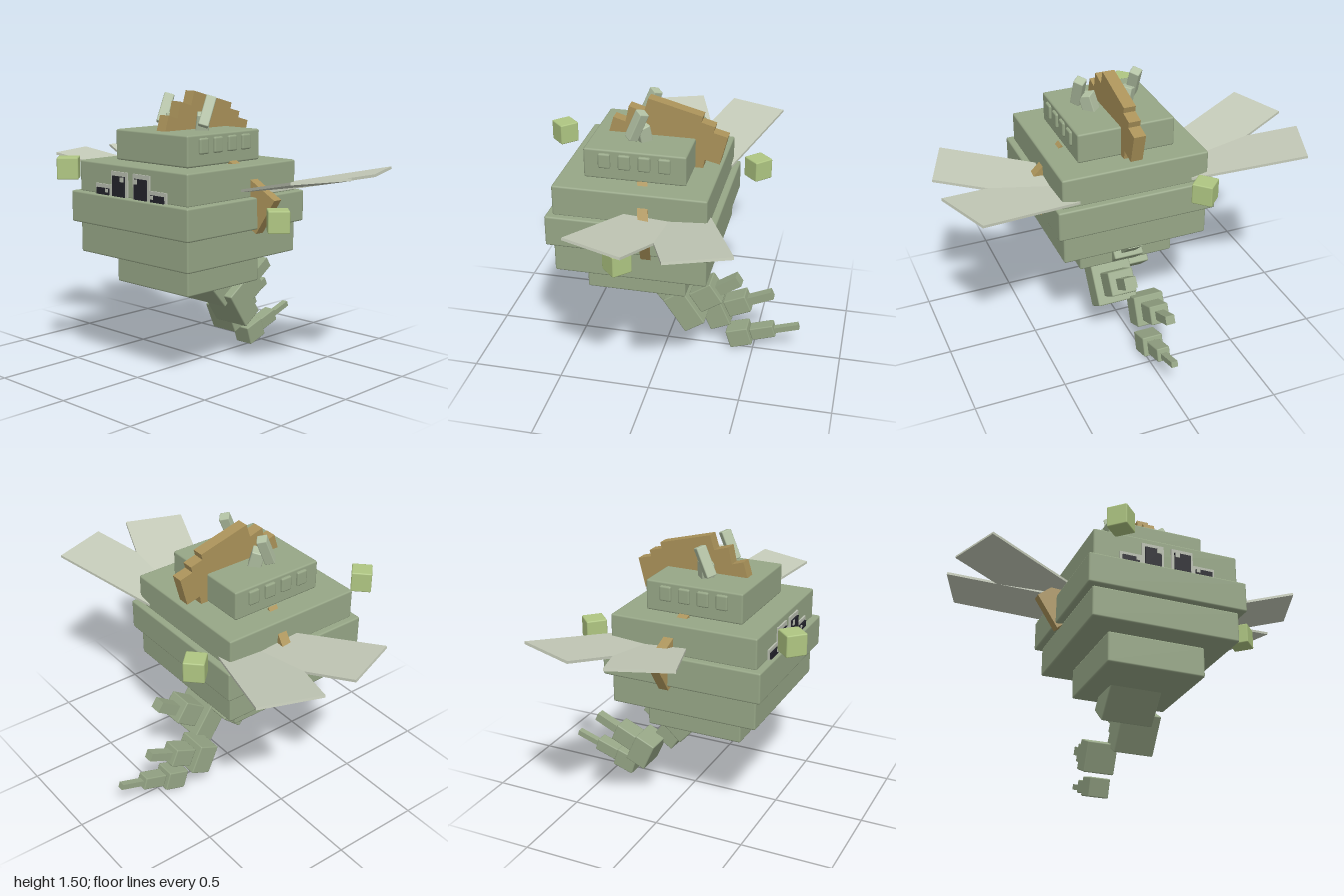
import * as THREE from 'three';
import { RoundedBoxGeometry } from 'three/addons/geometries/RoundedBoxGeometry.js';

const mat = (name, color, side = THREE.FrontSide) => {
  const m = new THREE.MeshStandardMaterial({ color, side });
  m.name = name;
  return m;
};

export function createModel() {
  const model = new THREE.Group();
  const shell = mat('shell green', 0x97a787);
  const horn = mat('pale horn', 0xb4c3a5);
  const brown = mat('crest brown', 0xab935a);
  const wingMat = mat('wing grey', 0xc5cbb9);
  const cubeMat = mat('lime', 0xafc682);
  const frameMat = mat('eye frame', 0xb9beb0);
  const dark = mat('eye dark', 0x23232b);

  const add = (name, geo, material, pos, rot = [0, 0, 0], order = 'XYZ') => {
    const mesh = new THREE.Mesh(geo, material);
    mesh.name = name;
    mesh.position.set(...pos);
    mesh.rotation.set(rot[0], rot[1], rot[2], order);
    model.add(mesh);
    return mesh;
  };
  // Box with a small chamfer on every edge
  const chamfer = (w, h, d, r = 0.01) => new RoundedBoxGeometry(w, h, d, 1, r);
  const box = (w, h, d) => new THREE.BoxGeometry(w, h, d);

  // Stacked body tiers: name, width, height, centre y
  const midZ = 0.117;
  for (const [name, w, h, y] of [
    ['head', 0.545, 0.165, 1.228],
    ['upperBody', 0.82, 0.17, 1.06],
    ['middleBody', 0.89, 0.17, 0.895],
    ['lowerBody', 0.82, 0.17, 0.728],
    ['bellyBase', 0.545, 0.17, 0.56],
  ]) add(name, chamfer(w, h, w), shell, [0, y, midZ]);

  // Raised panels along both sides of the head
  for (const s of [-1, 1])
    for (let i = 0; i < 4; i++)
      add('headPanel', chamfer(0.03, 0.083, 0.066), shell, [s * 0.272, 1.251, 0.277 - i * 0.106]);

  // Four eyes: frame, pupil and glint as thin plates
  const plate = (name, material, s, x0, x1, y0, y1, z) =>
    add(name, box(x1 - x0, y1 - y0, 0.009), material, [s * (x0 + x1) / 2, (y0 + y1) / 2, z]);
  for (const s of [-1, 1]) {
    plate('eyeFrame', frameMat, s, 0.022, 0.145, 0.98, 1.11, 0.532);
    plate('pupil', dark, s, 0.038, 0.13, 0.98, 1.087, 0.541);
    plate('glint', frameMat, s, 0.04, 0.064, 1.06, 1.085, 0.545);
    plate('smallEyeFrame', frameMat, s, 0.145, 0.268, 0.98, 1.035, 0.532);
    plate('smallPupil', dark, s, 0.16, 0.255, 0.98, 1.015, 0.541);
    plate('smallGlint', frameMat, s, 0.162, 0.182, 0.995, 1.013, 0.545);
  }

  // Stepped crest, outlined in z and y
  const crestShape = new THREE.Shape([
    [0.31, 1.27], [0.317, 1.30], [0.289, 1.393], [0.224, 1.373], [0.204, 1.462], [0.123, 1.437],
    [0.099, 1.514], [-0.192, 1.437], [-0.184, 1.405], [-0.257, 1.385], [-0.248, 1.352],
    [-0.325, 1.332], [-0.285, 1.174], [-0.204, 1.194], [-0.196, 1.142], [-0.14, 1.142],
  ].map(([z, y]) => new THREE.Vector2(-z, y)));
  const crestGeo = new THREE.ExtrudeGeometry(crestShape, { depth: 0.066, bevelEnabled: false });
  crestGeo.translate(0, 0, -0.033);
  crestGeo.rotateY(Math.PI / 2);
  add('crest', crestGeo, brown, [0, 0, 0]);

  for (const s of [-1, 1]) {
    // Bent horns on the head
    add('hornBase', chamfer(0.07, 0.12, 0.07, 0.006), horn, [s * 0.105, 1.34, 0.11],
      [0.1, Math.PI / 4, -s * 0.25], 'ZXY');
    add('hornTip', chamfer(0.056, 0.165, 0.056, 0.006), horn, [s * 0.158, 1.412, 0.13],
      [-0.4, Math.PI / 4, 0]);

    // Tilted brown side plate, sheared slightly in z
    const plateShape = new THREE.Shape(
      [[0.545, 0.97], [0.435, 0.785], [0.18, 0.975], [0.29, 1.16]]
        .map(([x, y]) => new THREE.Vector2(s * x, y)));
    const geo = new THREE.ExtrudeGeometry(plateShape, { depth: 0.055, bevelEnabled: false });
    const p = geo.attributes.position;
    for (let i = 0; i < p.count; i++)
      p.setZ(i, p.getZ(i) - 0.02 + 0.218 * (0.545 - s * p.getX(i)) - 0.049 * (0.97 - p.getY(i)));
    geo.computeVertexNormals();
    add('sidePlate', geo, brown, [0, 0, 0]);

    // Two crossed wing blades
    const yaw = 0.357, rise = 0.2, len = 0.62;
    for (const f of [-1, 1]) {
      const r = len / 2;
      add('wing', box(len, 0.014, 0.338), wingMat, [
        s * (0.943 - r * Math.cos(rise) * Math.cos(yaw)),
        1.123 - r * Math.sin(rise),
        -0.095 + f * (0.255 - r * Math.cos(rise) * Math.sin(yaw)),
      ], [0, -s * f * yaw, s * rise], 'YZX');
    }
  }

  // Floating cubes
  for (const pos of [[-0.32, 1.125, 0.677], [-0.32, 1.01, -0.445], [0.643, 0.89, 0.118]])
    add('floatingCube', chamfer(0.112, 0.116, 0.112, 0.007), cubeMat, pos, [0, Math.PI / 4, 0]);

  // Tail: each joint has a block, a knob and a thin spike; parts are [w, h, d, y, z]
  for (const { x, tilt, parts } of [
    { x: 0, tilt: 42, parts: [[0.295, 0.32, 0.145, 0.49, 0.025], [0.17, 0.15, 0.16, 0.53, -0.095], [0.08, 0.075, 0.16, 0.61, -0.2]] },
    { x: 0.085, tilt: 34, parts: [[0.23, 0.23, 0.132, 0.33, -0.132], [0.145, 0.133, 0.142, 0.405, -0.246], [0.068, 0.062, 0.16, 0.47, -0.355]] },
    { x: -0.073, tilt: 24, parts: [[0.175, 0.17, 0.125, 0.207, -0.277], [0.11, 0.105, 0.135, 0.26, -0.398], [0.052, 0.048, 0.15, 0.313, -0.523]] },
    { x: -0.028, tilt: 18, parts: [[0.118, 0.11, 0.13, 0.08, -0.42], [0.075, 0.075, 0.14, 0.12, -0.552], [0.036, 0.032, 0.15, 0.156, -0.683]] },
  ])
    parts.forEach(([w, h, d, y, z], i) =>
      add(['tailBlock', 'tailKnob', 'tailSpike'][i], i < 2 ? chamfer(w, h, d, 0.007) : box(w, h, d),
        shell, [x, y, z], [THREE.MathUtils.degToRad(tilt), 0, 0]));

  return model;
}
